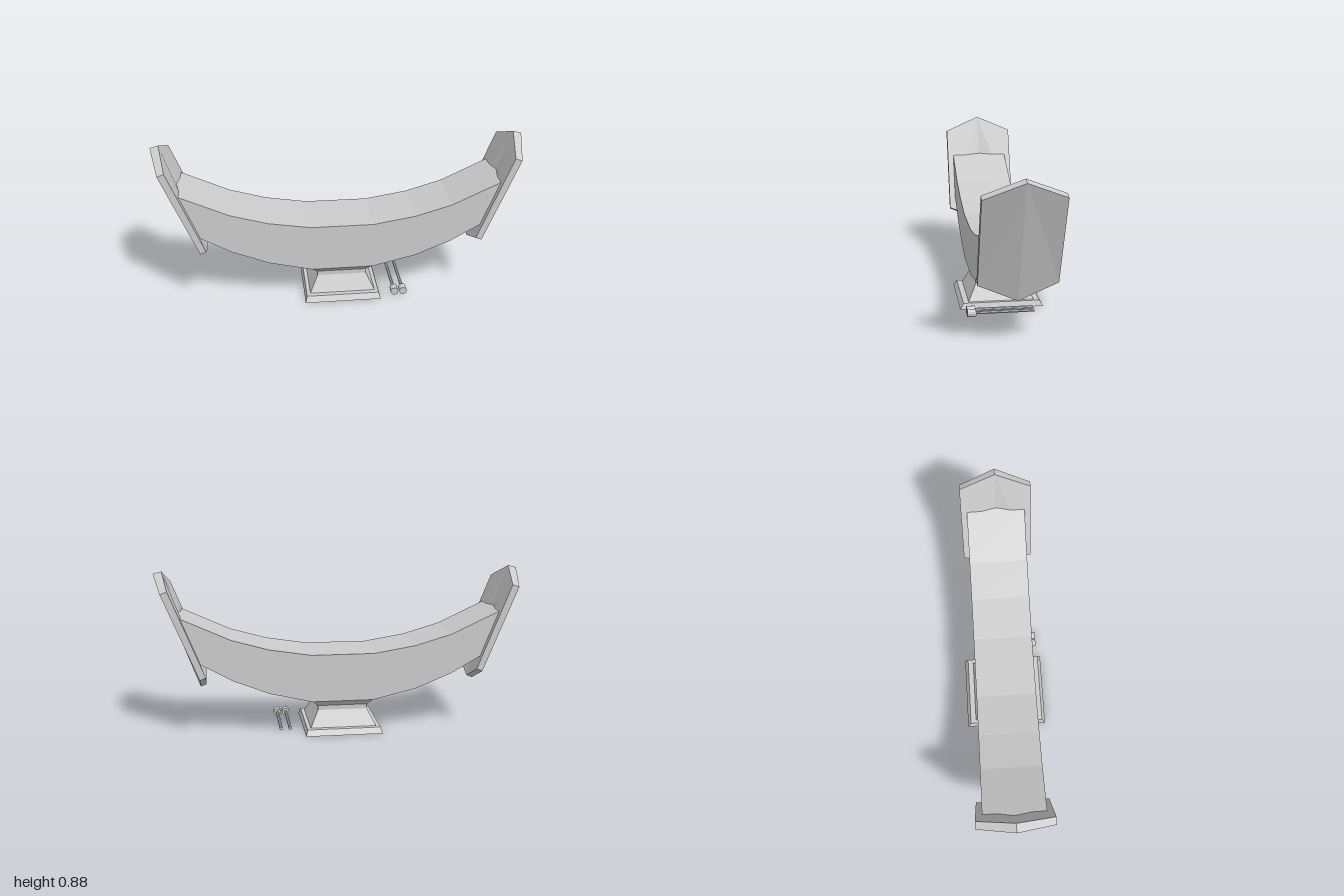
import * as THREE from 'three';

const material = new THREE.MeshStandardMaterial({ color: 0xcccccc, flatShading: true });

function part(name, geometry, parent) {
  const mesh = new THREE.Mesh(geometry, material);
  mesh.name = name;
  parent.add(mesh);
  return mesh;
}

// Solid through rings of [x, y, z], each counter-clockwise about the loft direction
function loft(rings) {
  const pos = [];
  const tri = (a, b, c) => pos.push(...a, ...b, ...c);
  const n = rings[0].length;
  for (let r = 0; r < rings.length - 1; r++) {
    const a = rings[r], b = rings[r + 1];
    for (let i = 0; i < n; i++) {
      const j = (i + 1) % n;
      tri(a[i], a[j], b[j]);
      tri(a[i], b[j], b[i]);
    }
  }
  const first = rings[0], last = rings[rings.length - 1];
  for (let i = 1; i < n - 1; i++) {
    tri(first[0], first[i + 1], first[i]);
    tri(last[0], last[i], last[i + 1]);
  }
  const g = new THREE.BufferGeometry();
  g.setAttribute('position', new THREE.Float32BufferAttribute(pos, 3));
  g.computeVertexNormals();
  return g;
}

const rect = (x, y, z) => [[x, y, z], [x, y, -z], [-x, y, -z], [-x, y, z]];

// Pointed hexagon, folded along its middle
function hexagon(side, [apexTop, cornerTop, cornerBottom, apexBottom]) {
  const p = ([x, y], z) => [side * x, y, z];
  const w = 0.198;
  return [p(apexTop, 0), p(cornerTop, w), p(cornerBottom, w),
    p(apexBottom, 0), p(cornerBottom, -w), p(cornerTop, -w)];
}

export function createModel() {
  const model = new THREE.Group();
  model.name = 'curvedInstrument';

  // Stepped foot, tapered pedestal and flared neck
  part('foot', loft([rect(0.21, 0, 0.228), rect(0.2, 0.032, 0.21)]), model);
  part('pedestal', loft([
    rect(0.18, 0.032, 0.18), rect(0.135, 0.12, 0.135),
    rect(0.135, 0.145, 0.135), rect(0.166, 0.177, 0.164),
  ]), model);

  // Curved body
  const top = [[0.875, 0.657], [0.6, 0.53], [0.4, 0.472], [0.17, 0.435]];
  const bottom = [[0.17, 0.176], [0.4, 0.23], [0.6, 0.31], [0.785, 0.415]];
  const mirrored = (list) => list.map(([x, y]) => [-x, y]).reverse();
  const outline = [...top, ...mirrored(top), ...mirrored(bottom), ...bottom];
  const shape = new THREE.Shape(outline.map(([x, y]) => new THREE.Vector2(x, y)));
  const body = new THREE.ExtrudeGeometry(shape, { depth: 0.328, bevelEnabled: false });
  part('body', body.translate(0, 0, -0.164), model);

  // Slanted end plates
  const inner = [[0.955, 0.88], [0.92, 0.8], [0.735, 0.338], [0.735, 0.253]];
  const outer = [[1, 0.868], [0.957, 0.787], [0.767, 0.325], [0.767, 0.24]];
  for (const side of [1, -1]) {
    const rings = [hexagon(side, inner), hexagon(side, outer)];
    if (side < 0) rings.reverse();
    part(side > 0 ? 'leftEndPlate' : 'rightEndPlate', loft(rings), model);
  }

  // Pair of mallets lying beside the foot
  for (const x of [0.29, 0.339]) {
    const mallet = new THREE.Group();
    mallet.name = 'mallet';
    mallet.position.set(x, 0.028, 0);
    model.add(mallet);
    const stick = new THREE.CylinderGeometry(0.009, 0.009, 0.32, 8).rotateX(Math.PI / 2);
    part('stick', stick, mallet).position.z = 0.005;
    const head = new THREE.CylinderGeometry(0.021, 0.021, 0.046, 12).rotateX(Math.PI / 2);
    part('head', head, mallet).position.z = 0.181;
  }

  return model;
}
